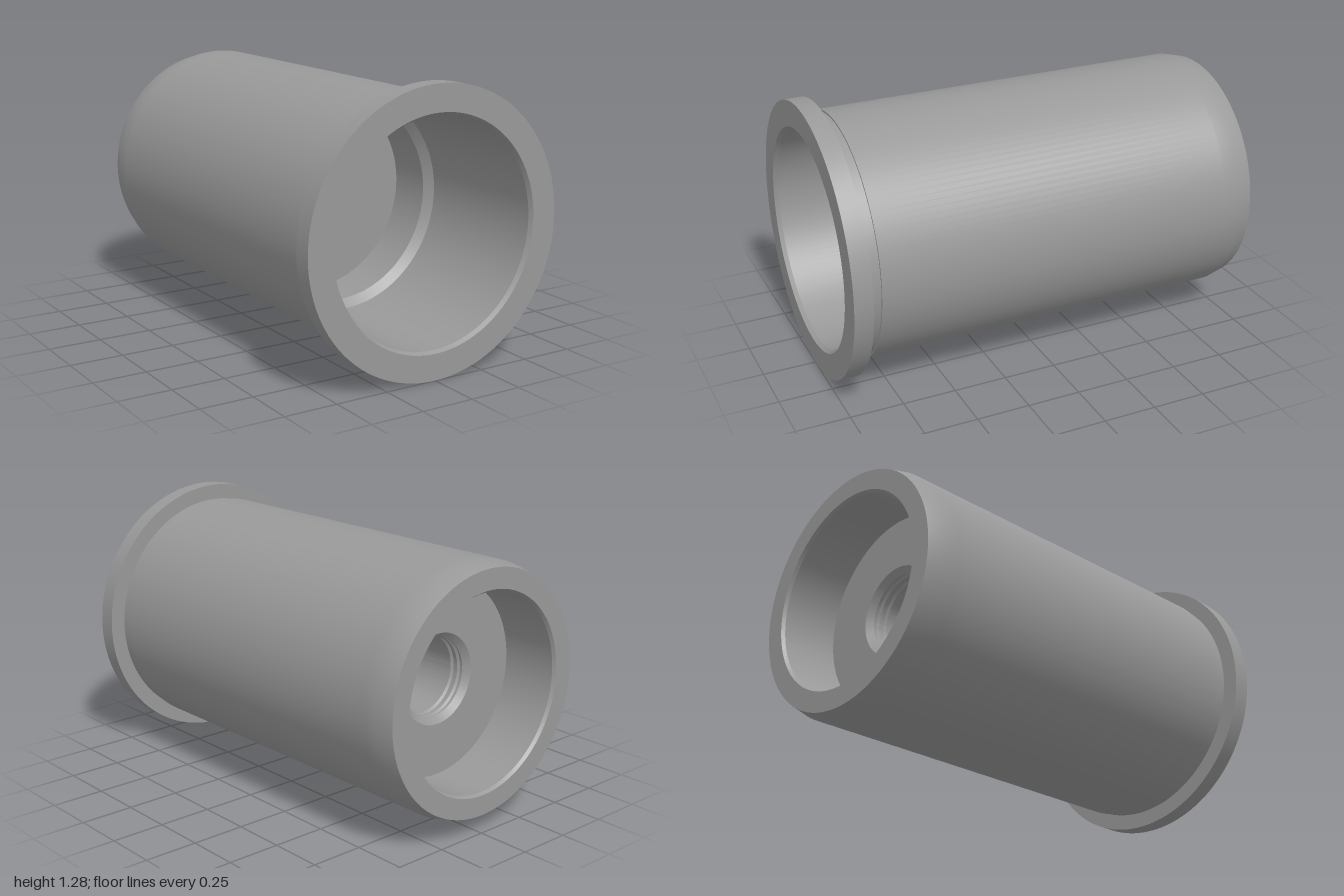
import * as THREE from 'three';
import { toCreasedNormals } from 'three/addons/utils/BufferGeometryUtils.js';

const AXIS_Y = 0.64;

// Turn a profile of [radius, z] pairs around the z axis; bevels and steps stay sharp.
function turned(name, profile) {
  const points = profile.map(([r, z]) => new THREE.Vector2(r, z));
  const lathe = new THREE.LatheGeometry(points, 128);
  lathe.rotateX(Math.PI / 2);
  const mesh = new THREE.Mesh(
    toCreasedNormals(lathe, 0.35),
    new THREE.MeshStandardMaterial({ color: 0x999999 })
  );
  mesh.name = name;
  mesh.position.y = AXIS_Y;
  return mesh;
}

export function createModel() {
  const group = new THREE.Group();
  group.name = 'flangedSleeve';

  // Outer barrel: rear rim, softly tapered tail, straight wall and undercut neck
  group.add(turned('barrel', [
    [0.46, -1], [0.554, -1], [0.574, -0.92], [0.574, -0.85],
    [0.574, 0.853], [0.566, 0.853], [0.566, 0.913],
  ]));

  // Front flange
  group.add(turned('flange', [
    [0.566, 0.913], [0.64, 0.913], [0.64, 1], [0.519, 1],
  ]));

  // Front bore: bevelled mouth, wide bore, conical shoulder, narrow bore, floor
  group.add(turned('frontBore', [
    [0.519, 1], [0.508, 0.98], [0.508, 0.30], [0.473, 0.26], [0.473, 0.04], [0, 0.04],
  ]));

  // Rear recess: floor, wall and bevelled mouth
  group.add(turned('rearRecess', [
    [0.21, -0.715], [0.45, -0.715], [0.45, -0.985], [0.46, -1],
  ]));

  // Blind screw hole with shallow grooves behind its bevelled mouth
  const hole = [[0, -0.26], [0.18, -0.26]];
  for (const z of [-0.62, -0.66]) {
    hole.push([0.18, z], [0.19, z - 0.008], [0.19, z - 0.016], [0.18, z - 0.024]);
  }
  hole.push([0.18, -0.69], [0.21, -0.715]);
  group.add(turned('screwHole', hole));

  return group;
}
